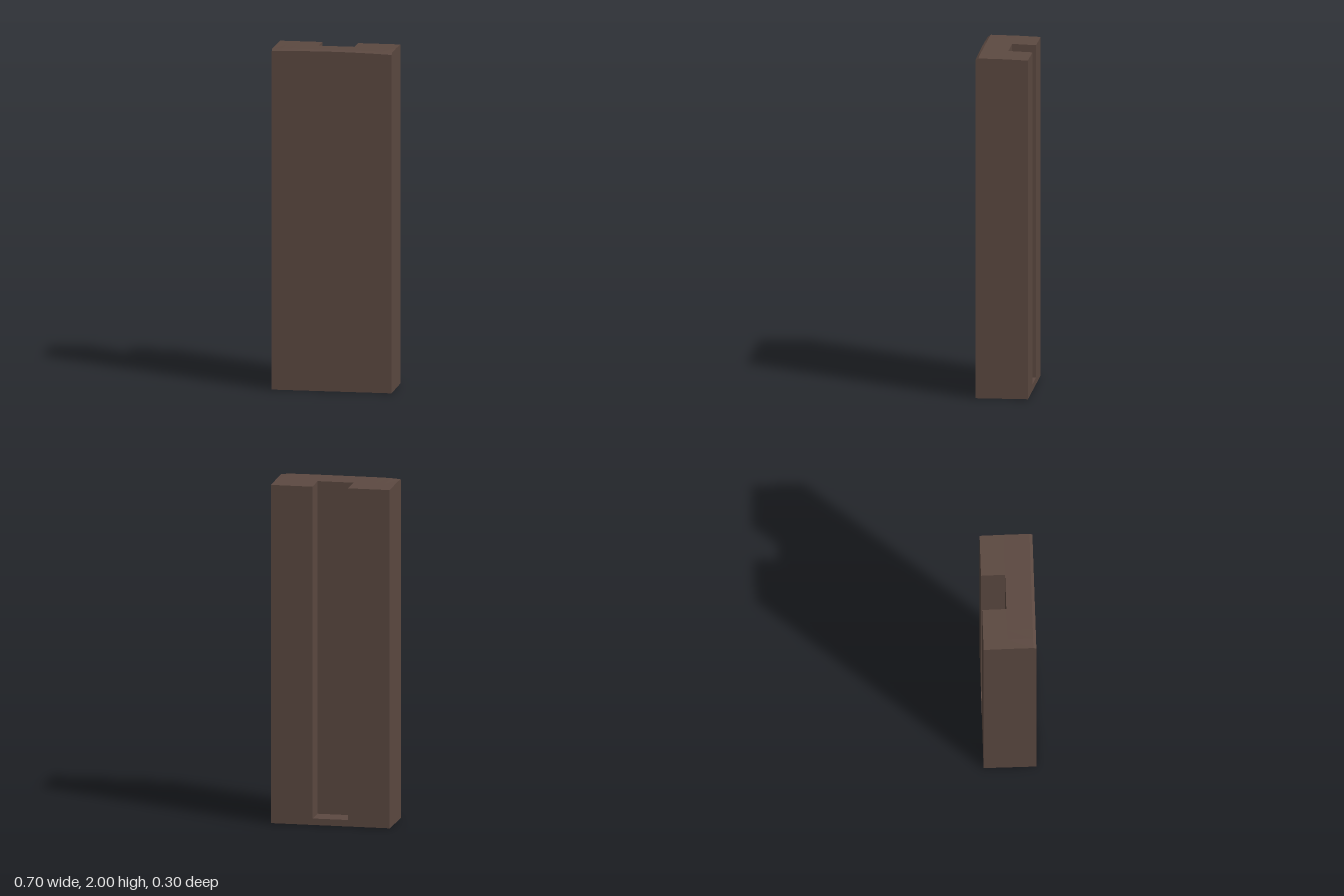
import * as THREE from 'three';

const HALF_W = 0.35, HALF_D = 0.152, GROOVE_HALF = 0.105, GROOVE_Z = -0.013, SILL_H = 0.038;

export function createModel() {
  const group = new THREE.Group();
  const wood = new THREE.MeshStandardMaterial({ color: 0x5c4941, flatShading: true });

  // Extrudes a side profile of [z, y] points along x, from x0 to x1
  function addProfile(name, points, x0, x1, steps = 1) {
    const shape = new THREE.Shape(points.map(([z, y]) => new THREE.Vector2(-z, y)));
    const geometry = new THREE.ExtrudeGeometry(shape, { depth: x1 - x0, steps, bevelEnabled: false });
    geometry.rotateY(Math.PI / 2).translate(x0, 0, 0);
    const mesh = new THREE.Mesh(geometry, wood);
    mesh.name = name;
    group.add(mesh);
    return geometry;
  }

  // Front slab, its top rising gently to a worn front edge
  const slab = addProfile('frontSlab', [
    [GROOVE_Z, 0], [HALF_D, 0], [HALF_D, 1.992], [0.135, 2], [GROOVE_Z, 1.993],
  ], -HALF_W, HALF_W, 12);

  // Wear the front edge down towards both corners
  const pos = slab.attributes.position;
  for (let i = 0; i < pos.count; i++) {
    if (pos.getY(i) < 1 || pos.getZ(i) < 0.1) continue;
    const t = Math.abs(pos.getX(i)) / HALF_W;
    const drop = pos.getZ(i) > 0.145 ? 0.008 * t * t : 0.005 * t ** 8;
    pos.setY(i, pos.getY(i) - drop);
  }
  slab.computeVertexNormals();

  // Two rails beside the open groove in the back
  const rail = [[-HALF_D, 0], [GROOVE_Z, 0], [GROOVE_Z, 1.993], [-HALF_D, 1.988]];
  addProfile('rightRail', rail, -HALF_W, -GROOVE_HALF);
  addProfile('leftRail', rail, GROOVE_HALF, HALF_W);

  // Low sill closing the bottom of the groove
  addProfile('grooveSill', [
    [-HALF_D, 0], [GROOVE_Z, 0], [GROOVE_Z, SILL_H], [-HALF_D, SILL_H],
  ], -GROOVE_HALF, GROOVE_HALF);

  return group;
}
